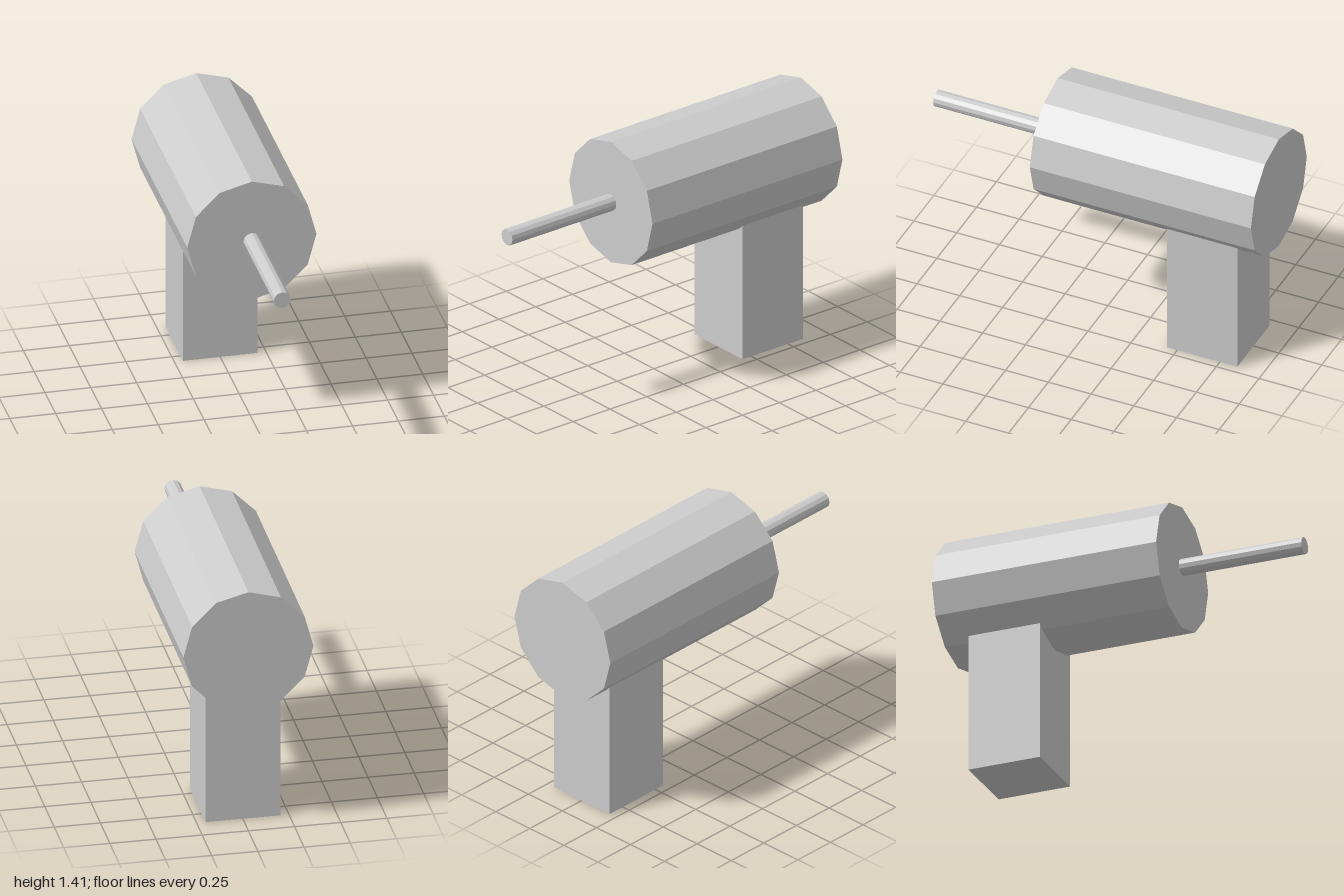
import * as THREE from 'three';

export function createModel() {
  const model = new THREE.Group();
  const grey = new THREE.MeshStandardMaterial({ color: 0xcccccc });
  grey.name = 'light grey';
  grey.flatShading = true;

  const axisY = 1.06;

  function add(name, geometry, x, y, z) {
    const mesh = new THREE.Mesh(geometry, grey);
    mesh.name = name;
    mesh.position.set(x, y, z);
    model.add(mesh);
  }

  // Twelve-sided cylinder lying along z
  function rod(name, radius, back, front) {
    const geometry = new THREE.CylinderGeometry(radius, radius, front - back, 12);
    geometry.rotateX(Math.PI / 2);
    add(name, geometry, 0, axisY, (back + front) / 2);
  }

  // Main drum and the thin shaft on its front
  rod('drum', 0.352, -1, 0.293);
  rod('shaft', 0.046, 0.293, 1);

  // Square post, its top sunk into the drum
  const postHeight = 0.8;
  add('post', new THREE.BoxGeometry(0.406, postHeight, 0.412), 0, postHeight / 2, -0.646);

  return model;
}
